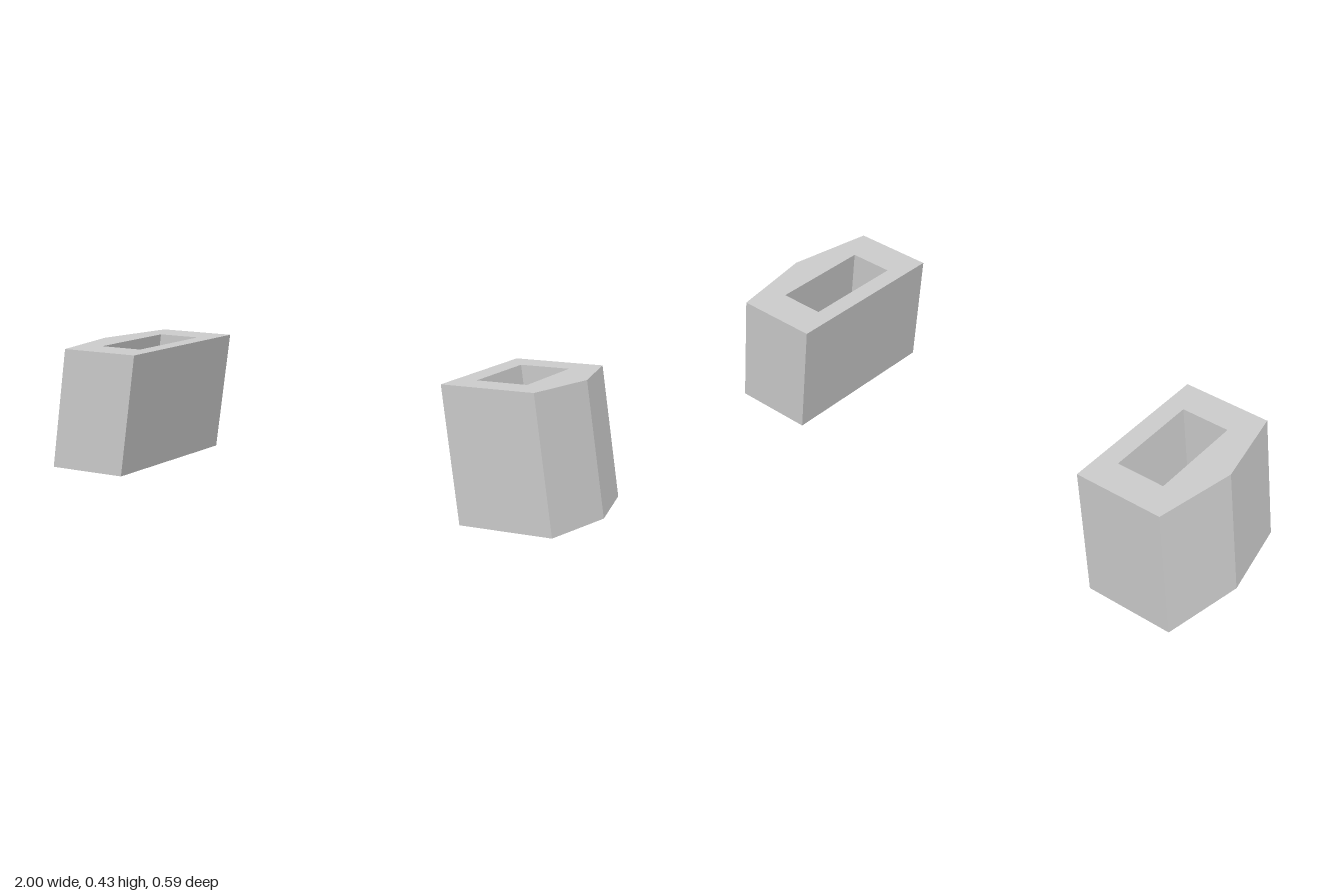
import * as THREE from 'three';

const HEIGHT = 0.43, HALF_DEPTH = 0.295, LEAN = 0.07;

// Leaning hollow block with a pointed outer side; side is +1 (left) or -1 (right)
function createBlock(side, material) {
  const toPoints = (list) => list.map(([x, z]) => new THREE.Vector2(side * x, z));
  const shape = new THREE.Shape(toPoints([
    [0.575, -HALF_DEPTH], [0.875, -HALF_DEPTH], [0.93, 0], [0.875, HALF_DEPTH], [0.575, HALF_DEPTH],
  ]));

  // Rectangular slot running right through
  shape.holes.push(new THREE.Path(toPoints([
    [0.64, -0.175], [0.64, 0.175], [0.805, 0.175], [0.805, -0.175],
  ])));

  const geometry = new THREE.ExtrudeGeometry(shape, { depth: HEIGHT, bevelEnabled: false });
  geometry.rotateX(-Math.PI / 2);

  // Shear so the base sits further out than the top
  const pos = geometry.attributes.position;
  for (let i = 0; i < pos.count; i++) {
    pos.setX(i, pos.getX(i) + side * LEAN * (1 - pos.getY(i) / HEIGHT));
  }
  geometry.computeVertexNormals();
  return new THREE.Mesh(geometry, material);
}

export function createModel() {
  const model = new THREE.Group();
  model.name = 'hollowBlockPair';
  const material = new THREE.MeshStandardMaterial({ color: 0xcccccc, flatShading: true });
  for (const [name, side] of [['leftBlock', 1], ['rightBlock', -1]]) {
    const block = createBlock(side, material);
    block.name = name;
    model.add(block);
  }
  return model;
}
